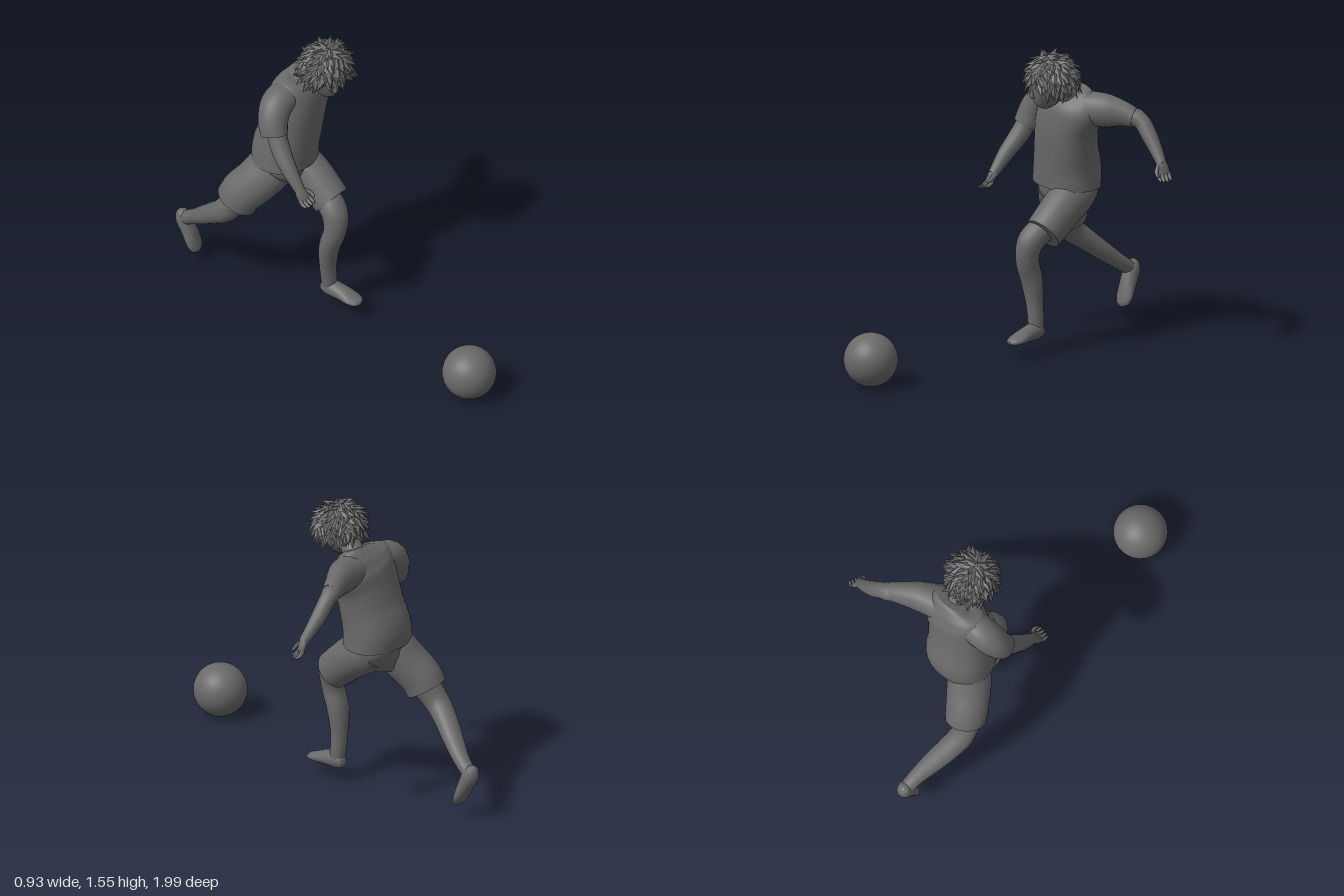
import * as THREE from 'three';
import { mergeGeometries } from 'three/addons/utils/BufferGeometryUtils.js';

const V = (x, y, z) => new THREE.Vector3(x, y, z);
const material = new THREE.MeshStandardMaterial({ color: 0x696969, side: THREE.DoubleSide });
const hairMaterial = new THREE.MeshStandardMaterial({ color: 0x696969, flatShading: true, side: THREE.DoubleSide });
const X = V(1, 0, 0), Z = V(0, 0, 1);

// Smooth skin through rings [x, y, z, radius along side, radius across]
function loft(rings, side = X, sides = 18, power = 1, steps = 4) {
  const path = new THREE.CatmullRomCurve3(rings.map(r => V(r[0], r[1], r[2])));
  const size = new THREE.CatmullRomCurve3(rings.map(r => V(r[3], r[4] ?? r[3], 0)));
  const n = (rings.length - 1) * steps, pos = [], index = [];
  const bend = c => Math.sign(c) * Math.abs(c) ** power;
  for (let i = 0; i <= n; i++) {
    const c = path.getPoint(i / n), s = size.getPoint(i / n), t = path.getTangent(i / n);
    const u = side.clone().addScaledVector(t, -side.dot(t)).normalize();
    const v = t.clone().cross(u);
    for (let j = 0; j < sides; j++) {
      const a = j / sides * Math.PI * 2;
      const p = c.clone().addScaledVector(u, bend(Math.cos(a)) * s.x).addScaledVector(v, bend(Math.sin(a)) * s.y);
      pos.push(p.x, p.y, p.z);
    }
  }
  for (let i = 0; i < n; i++) for (let j = 0; j < sides; j++) {
    const k = (j + 1) % sides, a = i * sides + j, b = i * sides + k;
    index.push(a, b, b + sides, a, b + sides, a + sides);
  }
  // flat end caps with their own corners
  for (const end of [0, n]) {
    const base = pos.length / 3, r = rings[end ? rings.length - 1 : 0];
    pos.push(...pos.slice(end * sides * 3, (end + 1) * sides * 3), r[0], r[1], r[2]);
    for (let j = 0; j < sides; j++) {
      const a = base + j, b = base + (j + 1) % sides;
      index.push(base + sides, end ? a : b, end ? b : a);
    }
  }
  const g = new THREE.BufferGeometry();
  g.setAttribute('position', new THREE.Float32BufferAttribute(pos, 3));
  g.setIndex(index);
  g.computeVertexNormals();
  return g;
}

function add(parent, name, geometry, mat = material) {
  const mesh = new THREE.Mesh(geometry, mat);
  mesh.name = name;
  parent.add(mesh);
  return mesh;
}

// Palm, four curled fingers and a thumb
function hand(name, wrist, dir, across, thumbSign) {
  const g = new THREE.Group();
  g.name = name;
  dir.normalize();
  across.addScaledVector(dir, -across.dot(dir)).normalize();
  const palmDir = dir.clone().cross(across).multiplyScalar(thumbSign);
  const at = (d, a, n) => wrist.clone().addScaledVector(dir, d).addScaledVector(across, a).addScaledVector(palmDir, n).toArray();
  add(g, 'palm', loft([[...at(-0.015, 0, 0), 0.024, 0.022], [...at(0.02, 0, 0), 0.034, 0.019],
    [...at(0.05, 0, 0), 0.034, 0.014]], across, 12));
  for (let i = 0; i < 4; i++) {
    const a = (i - 1.5) * 0.017, len = 0.05 - Math.abs(i - 1.3) * 0.006;
    add(g, 'finger', loft([[...at(0.042, a, 0), 0.011], [...at(0.05 + len * 0.45, a * 1.1, 0.006), 0.01],
      [...at(0.045 + len, a, 0.028), 0.006]], across, 6, 1, 2));
  }
  add(g, 'thumb', loft([[...at(0.01, 0.024, 0.005), 0.011], [...at(0.038, 0.04, 0.016), 0.01],
    [...at(0.062, 0.038, 0.028), 0.006]], across, 6, 1, 2));
  return g;
}

// Tousled hair: a skull cap clad in overlapping chunky locks
function hairGeometry() {
  let seed = 7;
  const rnd = () => (seed = (seed * 16807) % 2147483647) / 2147483647;
  const limit = az => 1.8 - 0.48 * Math.cos(az) ** 3; // hairline angle from the crown, az 0 = face
  const onCap = (th, az) => V(Math.sin(th) * Math.sin(az) * 0.12 + 0.012, Math.cos(th) * 0.13,
    Math.sin(th) * Math.cos(az) * 0.116 - 0.008);
  const cap = new THREE.SphereGeometry(1, 24, 16), p = cap.attributes.position;
  for (let i = 0; i < p.count; i++) {
    const az = Math.atan2(p.getX(i), p.getZ(i));
    const q = onCap(Math.min(Math.acos(p.getY(i)), limit(az)), az);
    p.setXYZ(i, q.x, q.y, q.z);
  }
  const parts = [cap], golden = Math.PI * (3 - Math.sqrt(5)), count = 190;
  for (let i = 0; i < count; i++) {
    const th = Math.acos(1 - 1.3 * (i + 0.5) / count), az = Math.atan2(Math.sin(i * golden), Math.cos(i * golden));
    if (th > limit(az)) continue;
    const base = onCap(th, az), out = base.clone().normalize();
    const down = onCap(th + 0.05, az).sub(base).normalize(), sideways = down.clone().cross(out);
    const dir = down.multiplyScalar(0.95).addScaledVector(out, 0.25 + rnd() * 0.45)
      .addScaledVector(sideways, (rnd() - 0.5) * 1.2).normalize();
    const len = 0.05 + rnd() * 0.035;
    const lock = new THREE.ConeGeometry(0.024, len, 4).translate(0, len * 0.4, 0).scale(1, 1, 0.55);
    const zAxis = out.clone().addScaledVector(dir, -out.dot(dir)).normalize();
    const m = new THREE.Matrix4().makeBasis(dir.clone().cross(zAxis), dir, zAxis).setPosition(base);
    parts.push(lock.applyMatrix4(m));
  }
  return mergeGeometries(parts);
}

function makeHead() {
  const head = new THREE.Group();
  head.name = 'head';
  // skull narrowing to the jaw, with eye hollows and mouth
  const skull = new THREE.SphereGeometry(1, 32, 24), p = skull.attributes.position;
  for (let i = 0; i < p.count; i++) {
    const x = p.getX(i), y = p.getY(i), z = p.getZ(i), jaw = Math.max(0, -y);
    let depth = z * 0.112 + 0.042 * jaw * jaw;
    if (z > 0) {
      depth -= 0.01 * Math.exp(-(((Math.abs(x) - 0.38) / 0.2) ** 2) - ((y + 0.05) / 0.14) ** 2);
      depth += 0.007 * Math.exp(-((x / 0.25) ** 2) - ((y + 0.6) / 0.12) ** 2);
    }
    p.setXYZ(i, x * 0.093 * (1 - 0.28 * jaw), y * 0.132, depth);
  }
  skull.computeVertexNormals();
  add(head, 'face', skull);
  add(head, 'nose', loft([[0, 0.0, 0.1, 0.008], [0, -0.025, 0.112, 0.01, 0.01], [0, -0.042, 0.116, 0.014, 0.011],
    [0, -0.052, 0.109, 0.007, 0.005]], X, 10));
  for (const s of [-1, 1]) {
    const ear = add(head, 'ear', new THREE.SphereGeometry(1, 12, 8));
    ear.scale.set(0.012, 0.03, 0.02);
    ear.position.set(s * 0.092, -0.02, -0.005);
  }
  add(head, 'hair', hairGeometry(), hairMaterial);
  head.position.set(-0.113, 1.392, -0.2);
  head.rotation.set(0.26, -0.33, 0, 'YXZ');
  return head;
}

export function createModel() {
  const model = new THREE.Group();
  model.name = 'runnerWithBall';

  const ball = add(model, 'ball', new THREE.SphereGeometry(0.135, 40, 28));
  ball.position.set(-0.32, 0.137, 0.863);

  model.add(makeHead());
  add(model, 'neck', loft([[-0.09, 1.26, -0.34, 0.06], [-0.095, 1.32, -0.29, 0.054], [-0.11, 1.38, -0.23, 0.053]]));

  // shirt body and sleeves
  add(model, 'shirt', loft([[-0.18, 0.82, -0.388, 0.178, 0.147], [-0.175, 0.9, -0.388, 0.172, 0.153],
    [-0.16, 1.02, -0.364, 0.165, 0.14], [-0.14, 1.14, -0.348, 0.168, 0.13], [-0.11, 1.23, -0.345, 0.178, 0.118],
    [-0.095, 1.285, -0.345, 0.165, 0.09], [-0.09, 1.318, -0.34, 0.12, 0.064], [-0.09, 1.33, -0.335, 0.07, 0.05]],
    V(1, 0, 0.03), 32, 0.88));
  add(model, 'rightSleeve', loft([[-0.13, 1.235, -0.35, 0.06, 0.06], [-0.23, 1.24, -0.35, 0.084, 0.08],
    [-0.305, 1.225, -0.348, 0.083, 0.08], [-0.352, 1.165, -0.332, 0.076, 0.076], [-0.376, 1.095, -0.305, 0.068, 0.067]], Z));
  add(model, 'leftSleeve', loft([[-0.12, 1.235, -0.345, 0.08, 0.07], [-0.02, 1.238, -0.36, 0.088, 0.085],
    [0.08, 1.236, -0.395, 0.074, 0.086], [0.155, 1.228, -0.432, 0.056, 0.067], [0.215, 1.212, -0.458, 0.046, 0.051]], Z));

  // arms
  add(model, 'rightArm', loft([[-0.36, 1.14, -0.315, 0.05], [-0.385, 1.05, -0.265, 0.049], [-0.408, 0.965, -0.195, 0.041],
    [-0.42, 0.87, -0.113, 0.026]], X));
  add(model, 'leftArm', loft([[0.16, 1.23, -0.44, 0.042], [0.245, 1.2, -0.472, 0.042], [0.305, 1.13, -0.475, 0.04],
    [0.36, 1.062, -0.468, 0.032], [0.402, 1.01, -0.458, 0.025]], Z));
  model.add(hand('rightHand', V(-0.42, 0.87, -0.113), V(0, -0.78, 0.6), V(0.9, 0, 0.4), 1));
  model.add(hand('leftHand', V(0.402, 1.01, -0.458), V(0.25, -0.75, 0.05), V(-0.5, 0, 0.9), -1));

  // shorts
  add(model, 'shortsWaist', loft([[-0.18, 0.86, -0.4, 0.16, 0.13], [-0.18, 0.8, -0.4, 0.163, 0.135],
    [-0.19, 0.74, -0.42, 0.13, 0.105], [-0.195, 0.69, -0.435, 0.075, 0.06], [-0.195, 0.675, -0.435, 0.03, 0.02]], X, 28));
  add(model, 'shortsLeftLeg', loft([[-0.12, 0.805, -0.44, 0.09, 0.09], [-0.115, 0.775, -0.37, 0.104, 0.11],
    [-0.11, 0.715, -0.275, 0.1, 0.108], [-0.115, 0.615, -0.15, 0.094, 0.098]], X, 22));
  add(model, 'shortsRightLeg', loft([[-0.25, 0.8, -0.41, 0.1, 0.12], [-0.29, 0.715, -0.462, 0.108, 0.116],
    [-0.335, 0.625, -0.535, 0.105, 0.112], [-0.348, 0.572, -0.562, 0.102, 0.108]], X, 22));

  // legs
  add(model, 'leftLeg', loft([[-0.12, 0.66, -0.21, 0.07], [-0.15, 0.585, -0.105, 0.068], [-0.165, 0.49, -0.09, 0.06, 0.058],
    [-0.167, 0.38, -0.122, 0.06, 0.052], [-0.16, 0.25, -0.138, 0.045, 0.042], [-0.152, 0.16, -0.138, 0.04],
    [-0.15, 0.1, -0.135, 0.038]]));
  add(model, 'rightLeg', loft([[-0.345, 0.6, -0.54, 0.075], [-0.372, 0.5, -0.615, 0.064], [-0.35, 0.43, -0.7, 0.06, 0.055],
    [-0.32, 0.365, -0.78, 0.054, 0.048], [-0.288, 0.295, -0.87, 0.042, 0.039], [-0.274, 0.25, -0.935, 0.036]]));

  // feet, heel to toe
  add(model, 'leftFoot', loft([[-0.15, 0.105, -0.183, 0.008, 0.008], [-0.15, 0.106, -0.175, 0.027, 0.027],
    [-0.15, 0.115, -0.135, 0.042, 0.045], [-0.147, 0.108, -0.06, 0.045, 0.037], [-0.145, 0.097, 0, 0.05, 0.025],
    [-0.145, 0.09, 0.04, 0.036, 0.016], [-0.145, 0.088, 0.054, 0.01, 0.006]]));
  add(model, 'rightFoot', loft([[-0.275, 0.29, -0.97, 0.008, 0.008], [-0.275, 0.28, -0.965, 0.028, 0.026],
    [-0.272, 0.24, -0.947, 0.042, 0.045], [-0.268, 0.17, -0.914, 0.046, 0.037], [-0.265, 0.115, -0.89, 0.05, 0.027],
    [-0.263, 0.08, -0.873, 0.037, 0.017], [-0.262, 0.066, -0.867, 0.01, 0.006]]));

  return model;
}
